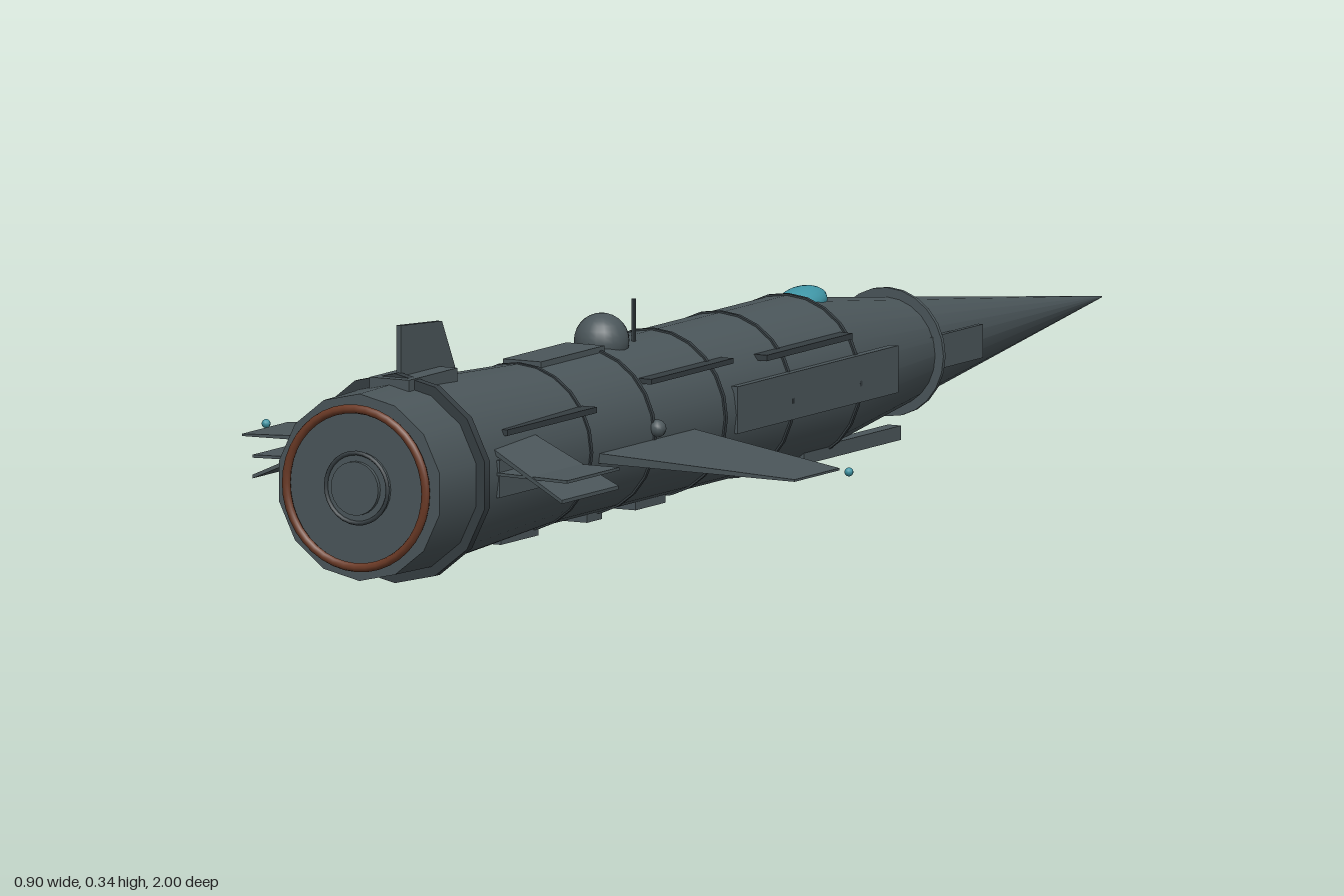
import * as THREE from 'three';

const AXIS = 0.14; // height of the fuselage centreline

export function createModel() {
  const model = new THREE.Group();
  model.name = 'rocketPlane';

  const mat = (name, color, extra = {}) => {
    const m = new THREE.MeshStandardMaterial({ color, ...extra });
    m.name = name;
    return m;
  };
  const hull = mat('hullGrey', 0x4b565a);
  const trim = mat('darkTrim', 0x363e42);
  const rust = mat('rustBrown', 0x6b3a26);
  const glass = mat('canopyTeal', 0x3f95a5);

  const add = (name, geo, material, x = 0, y = 0, z = 0) => {
    const mesh = new THREE.Mesh(geo, material);
    mesh.name = name;
    mesh.position.set(x, y, z);
    model.add(mesh);
    return mesh;
  };
  // Round section along z: radius r0 at z0, r1 at z1
  const section = (name, r0, r1, z0, z1, material = hull, sides = 24) =>
    add(name, new THREE.CylinderGeometry(r1, r0, z1 - z0, sides).rotateX(Math.PI / 2),
      material, 0, AXIS, (z0 + z1) / 2);
  // Box given by its extents
  const box = (name, x0, x1, y0, y1, z0, z1, material = hull) =>
    add(name, new THREE.BoxGeometry(x1 - x0, y1 - y0, z1 - z0), material,
      (x0 + x1) / 2, (y0 + y1) / 2, (z0 + z1) / 2);
  const bothSides = (name, x0, x1, ...rest) => {
    box(name + 'Left', x0, x1, ...rest);
    box(name + 'Right', -x1, -x0, ...rest);
  };

  // Tapered slab between a root and a tip section, each {x, y, front, back, t}
  const slab = (root, tip, s) => {
    const ring = ({ x, y, front, back, t }) => [
      [s * x, y - t / 2, front], [s * x, y - t / 2, back],
      [s * x, y + t / 2, back], [s * x, y + t / 2, front]];
    const a = ring(root), b = ring(tip), pos = [];
    const quad = (p, q, r, u) => pos.push(...(s > 0 ? [p, q, r, p, r, u] : [p, r, q, p, u, r]).flat());
    for (let i = 0; i < 4; i++) {
      const j = (i + 1) % 4;
      quad(a[j], a[i], b[i], b[j]);
    }
    quad(b[3], b[2], b[1], b[0]);
    quad(a[0], a[1], a[2], a[3]);
    const geo = new THREE.BufferGeometry();
    geo.setAttribute('position', new THREE.Float32BufferAttribute(pos, 3));
    geo.computeVertexNormals();
    return geo;
  };
  const thin = mat('surfaceGrey', 0x4b565a, { side: THREE.DoubleSide });

  // Fuselage
  section('noseCone', 0.001, 0.107, -1, -0.16);
  section('barrel', 0.11, 0.11, -0.16, 0.55);
  section('tailFlare', 0.11, 0.126, 0.55, 0.88);
  section('engineCasing', 0.127, 0.125, 0.88, 0.985, hull, 14);
  section('tailCollar', 0.14, 0.14, 0.876, 0.89, trim, 14);
  section('noseCollar', 0.086, 0.086, -0.432, -0.426, hull);
  [-0.16, 0.02, 0.2, 0.39, 0.56].forEach((z, i) =>
    section('hullBand' + (i + 1), 0.1125, 0.1125, z - 0.003, z + 0.003, trim));

  // Engine face
  add('exhaustRing', new THREE.TorusGeometry(0.106, 0.006, 8, 40), rust, 0, AXIS, 0.994);
  section('exhaustHub', 0.048, 0.048, 0.98, 0.992, hull, 24);
  section('exhaustCore', 0.036, 0.036, 0.98, 0.998, hull, 24);
  add('hubRim', new THREE.TorusGeometry(0.047, 0.003, 6, 28), trim, 0, AXIS, 0.992);

  // Canopy
  const canopy = add('canopy', new THREE.SphereGeometry(1, 20, 12), glass, 0, 0.236, -0.198);
  canopy.scale.set(0.03, 0.02, 0.046);
  canopy.rotation.x = 0.12;

  // Wings, tip lights and stabilizers
  for (const s of [1, -1]) {
    const side = s > 0 ? 'Left' : 'Right';
    add('wing' + side, slab(
      { x: 0.09, y: 0.129, front: 0.27, back: 0.533, t: 0.014 },
      { x: 0.42, y: 0.125, front: 0.44, back: 0.56, t: 0.003 }, s), thin);
    add('tipLight' + side, new THREE.SphereGeometry(0.006, 10, 8), glass, s * 0.443, 0.125, 0.455);
    add('stabilizer' + side, slab(
      { x: 0.1, y: 0.183, front: 0.705, back: 0.825, t: 0.007 },
      { x: 0.235, y: 0.121, front: 0.705, back: 0.857, t: 0.005 }, s), thin);
    add('trimVane' + side, slab(
      { x: 0.1, y: 0.147, front: 0.71, back: 0.83, t: 0.004 },
      { x: 0.239, y: 0.147, front: 0.71, back: 0.85, t: 0.004 }, s), thin);
    add('wingRootPod' + side, new THREE.SphereGeometry(0.012, 12, 8), hull, s * 0.112, 0.15, 0.385);
  }

  // Tail fin on its base
  const fin = new THREE.Shape([[-0.88, 0.25], [-0.735, 0.25], [-0.735, 0.27], [-0.77, 0.335], [-0.88, 0.343]]
    .map(([a, b]) => new THREE.Vector2(a, b)));
  add('tailFin', new THREE.ExtrudeGeometry(fin, { depth: 0.007, bevelEnabled: false })
    .rotateY(Math.PI / 2), hull, -0.0035);
  box('finBase', -0.03, 0.03, 0.255, 0.275, 0.775, 0.905);

  // Dorsal fittings
  add('dorsalDome', new THREE.SphereGeometry(0.037, 20, 14), hull, 0, 0.253, 0.337);
  box('dorsalSpine', -0.029, 0.029, 0.24, 0.254, 0.38, 0.55);
  box('tallAntenna', 0.018, 0.022, 0.245, 0.304, 0.284, 0.289, trim);
  box('shortAntenna', -0.002, 0.002, 0.245, 0.284, 0.248, 0.253, trim);

  // Side panels and strakes
  bothSides('flankPanel', 0.1, 0.112, 0.115, 0.178, -0.26, 0.17);
  bothSides('nosePanel', 0.063, 0.07, 0.12, 0.165, -0.56, -0.26);
  bothSides('forwardStrake', 0.08, 0.105, 0.2, 0.208, -0.15, 0.08, trim);
  bothSides('middleStrake', 0.08, 0.1, 0.207, 0.214, 0.16, 0.38, trim);
  bothSides('rearStrake', 0.08, 0.114, 0.192, 0.2, 0.55, 0.79, trim);
  bothSides('tailPanel', 0.11, 0.125, 0.115, 0.165, 0.7, 0.83);
  box('rustPatch', -0.134, -0.126, 0.11, 0.165, 0.775, 0.835, rust);

  // Underside rails and skids
  bothSides('bellyRail', 0.045, 0.065, 0.037, 0.056, -0.35, -0.09);
  [[0.55, 0.65], [0.38, 0.42], [0.21, 0.29]].forEach(([z0, z1], i) =>
    box('bellySkid' + (i + 1), -0.025, 0.025, 0.022, 0.045, z0, z1));

  return model;
}
